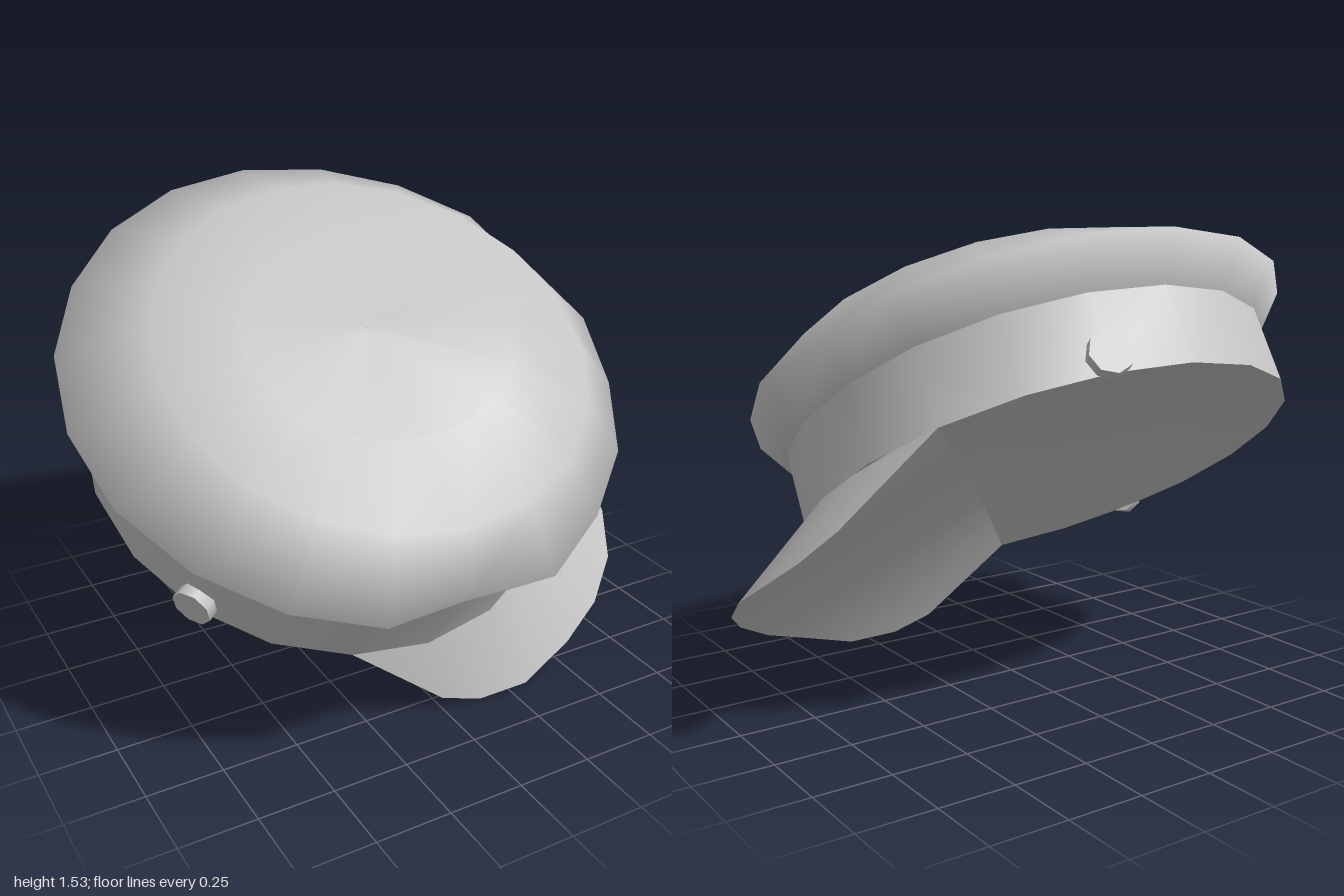
import * as THREE from 'three';

const SIDES = 20;
const R = 0.82; // band radius
const rad = THREE.MathUtils.degToRad;
const cos = (deg) => Math.cos(rad(deg));

// Point at an angle (degrees from the peak), radius and height
const polar = (deg, r, h) =>
  new THREE.Vector3(Math.sin(rad(deg)) * r, h, cos(deg) * r);

// Skin between rows of points, listed from bottom to top
function loft(rows, closed) {
  const n = rows[0].length;
  const index = [];
  for (let j = 0; j < rows.length - 1; j++) {
    for (let i = 0; i < (closed ? n : n - 1); i++) {
      const k = (i + 1) % n;
      const a = j * n + i, b = j * n + k, c = a + n, d = b + n;
      index.push(a, b, d, a, d, c);
    }
  }
  const geo = new THREE.BufferGeometry().setFromPoints(rows.flat());
  geo.setIndex(index);
  geo.computeVertexNormals();
  return geo;
}

// Full ring; radius and height may depend on the angle and corner number
const ring = (radius, height) =>
  Array.from({ length: SIDES }, (_, i) => {
    const deg = (i * 360) / SIDES;
    return polar(deg, radius(deg, i), height(deg));
  });

export function createModel() {
  const grey = new THREE.MeshStandardMaterial({ color: 0xc4c4c4 });
  grey.name = 'grey cloth';
  const greySheet = new THREE.MeshStandardMaterial({ color: 0xc4c4c4, side: THREE.DoubleSide });
  greySheet.name = 'grey sheet';

  const cap = new THREE.Group();
  cap.name = 'cap';
  const add = (name, geo, mat = grey) => {
    const mesh = new THREE.Mesh(geo, mat);
    mesh.name = name;
    cap.add(mesh);
    return mesh;
  };

  // Band
  const bandBottom = ring(() => R, () => 0);
  const bandTop = ring(() => R, () => 0.25);
  add('band', loft([bandBottom, bandTop], true));

  // Underside, a shallow hollow
  const hollow = 0.1;
  add('underside', loft([
    ring(() => 0.001, () => hollow),
    ring(() => R / 2, () => hollow * 0.75),
    bandBottom,
  ], true));

  // Crown: flares to a rim with a dent either side of the peak, closes in
  // to a shoulder, and rises to a soft hump behind the peak
  const rim = [0.915, 0.908, 0.927, 0.868, 0.922, 0.922, 0.925, 0.932, 0.933, 0.93, 0.925];
  const hump = (deg) => ((1 + cos(deg)) / 2) ** 4;
  add('crown', loft([
    bandTop,
    ring((d, i) => rim[Math.min(i, SIDES - i)], (d) => 0.38 + 0.01 * cos(d)),
    ring((d) => 0.705 + 0.045 * cos(d), (d) => 0.538 + 0.015 * cos(d)),
    ring((d) => 0.4 + 0.06 * hump(d), (d) => 0.558 + 0.084 * hump(d)),
    ring(() => 0.001, () => 0.595),
  ], true));

  // Peak: half of the outer edge as [angle, radius, height], then mirrored
  const half = [
    [0, 1.12, -0.188], [10.5, 1.105, -0.196], [21, 1.075, -0.205], [33, 1.05, -0.231],
    [43, 1.0, -0.222], [51, 0.95, -0.185], [72, R, 0],
  ];
  const edge = [], arc = [], chord = [];
  for (let i = -6; i <= 6; i++) {
    const s = Math.sign(i), [deg, r, h] = half[Math.abs(i)];
    edge.push(polar(s * deg, r, h));
    // Follow the flat sides of the band
    const a = i * 12, within = (((a % 18) + 18) % 18) - 9;
    arc.push(polar(a, (R * cos(9)) / cos(within), 0));
    // Inner edge follows the hollow
    const t = i / 6;
    chord.push(new THREE.Vector3(t * R * Math.sin(rad(72)),
      hollow * 0.88 * (1 - Math.abs(t)), R * cos(72)));
  }
  add('peakTop', loft([edge, arc], false), greySheet);
  add('peakUnderside', loft([chord, edge], false), greySheet);

  // Side buttons
  for (const side of [-1, 1]) {
    const geo = new THREE.CylinderGeometry(0.068, 0.068, 0.04, 8);
    geo.rotateX(Math.PI / 2);
    const button = add(side > 0 ? 'leftButton' : 'rightButton', geo);
    button.position.copy(polar(side * 108, 0.832, 0.052));
    button.rotation.y = rad(side * 108);
  }

  // Tip the cap forward, roll it slightly and turn the peak to its left
  cap.rotation.set(0.568, rad(54), 0.03, 'XZY');
  cap.position.set(-0.06, 0.715, -0.13);

  const model = new THREE.Group();
  model.name = 'peakedCap';
  model.add(cap);
  return model;
}
